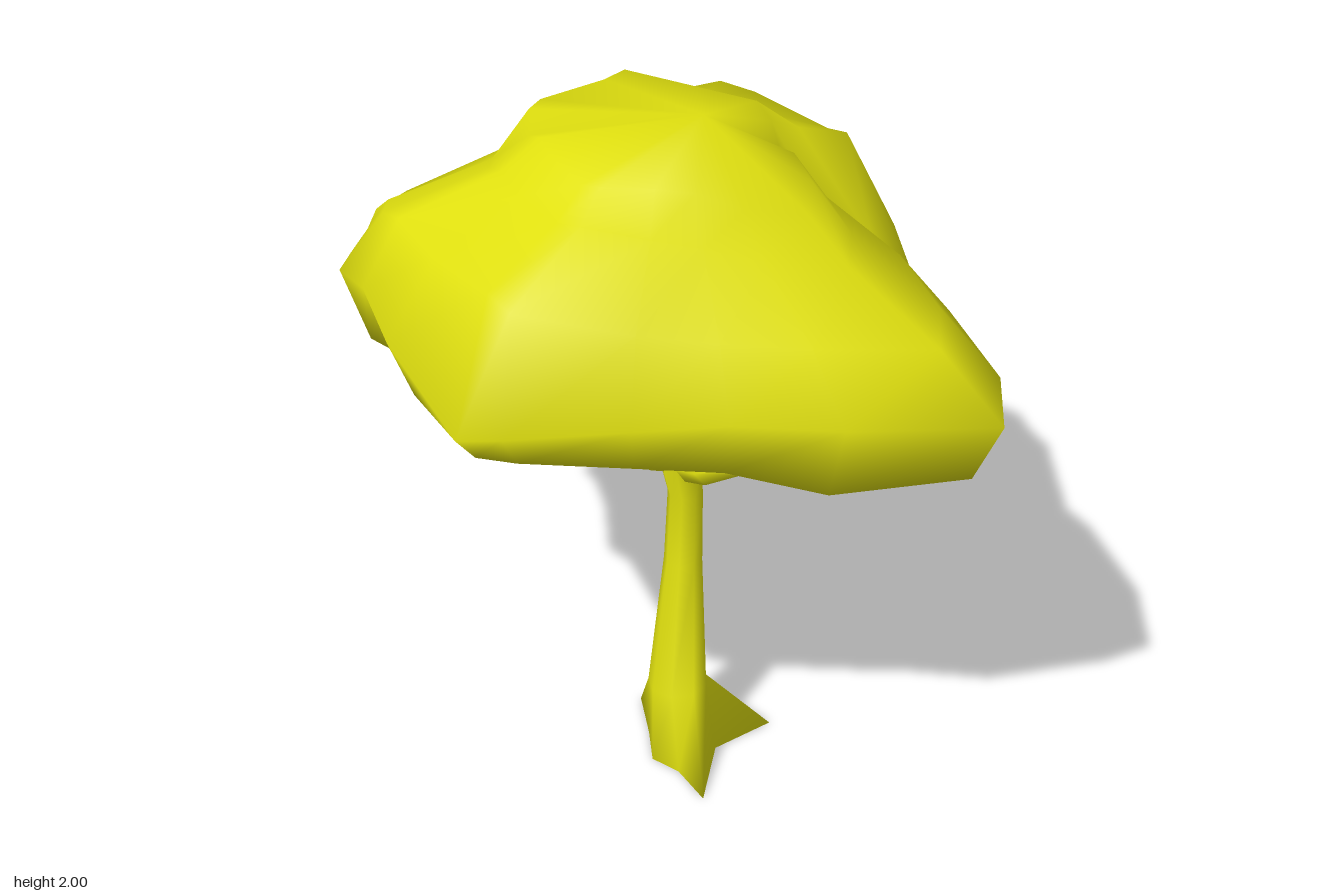
import * as THREE from 'three';

// Skin a stack of closed rings (clockwise about the stacking direction), capped by single points
function loft(rings, startCap, endCap) {
  const n = rings[0].length;
  const points = rings.flat();
  const index = [];
  for (let j = 0; j < rings.length - 1; j++) {
    for (let i = 0; i < n; i++) {
      const k = (i + 1) % n;
      const a = j * n + i, b = j * n + k, c = a + n, d = b + n;
      index.push(a, c, b, b, c, d);
    }
  }
  const last = (rings.length - 1) * n;
  const start = points.length, end = start + 1;
  points.push(startCap, endCap);
  for (let i = 0; i < n; i++) {
    const k = (i + 1) % n;
    index.push(start, i, k, end, last + k, last + i);
  }
  const geometry = new THREE.BufferGeometry().setFromPoints(points);
  geometry.setIndex(index);
  geometry.computeVertexNormals();
  return geometry;
}

const V = (x, y, z) => new THREE.Vector3(x, y, z);

// Horizontal ring starting at the back and running towards +x
function trunkRing(x, y, z, r, n = 8) {
  return Array.from({ length: n }, (_, i) => {
    const a = (i / n) * Math.PI * 2;
    return V(x + r * Math.sin(a), y, z - r * Math.cos(a));
  });
}

// Tapered limb through a few points, each with its own radius
function limb(path, radii, sides = 6) {
  const rings = path.slice(0, -1).map((p, j) => {
    const d = path[j + 1].clone().sub(path[Math.max(j - 1, 0)]).normalize();
    const u = V(0, 1, 0).cross(d).normalize();
    const v = u.clone().cross(d);
    return Array.from({ length: sides }, (_, i) => {
      const a = (i / sides) * Math.PI * 2;
      return p.clone().addScaledVector(u, radii[j] * Math.cos(a)).addScaledVector(v, radii[j] * Math.sin(a));
    });
  });
  return loft(rings, path[0], path[path.length - 1]);
}

// Canopy outline: x, z, then heights of rim, underside, shoulder and crown, then shoulder reach
const OUTLINE = [
  [-0.39, -0.96, 1.33, 1.23, 1.47, 1.88, 0.90],
  [0.00, -0.81, 1.30, 1.20, 1.50, 1.92, 0.94],
  [0.19, -0.87, 1.34, 1.21, 1.58, 1.92, 0.84],
  [0.57, -0.62, 1.46, 1.27, 1.69, 1.87, 0.95],
  [0.66, -0.54, 1.46, 1.31, 1.68, 1.86, 0.90],
  [0.83, -0.30, 1.46, 1.37, 1.64, 1.85, 0.81],
  [0.73, 0.00, 1.42, 1.31, 1.75, 1.85, 0.76],
  [0.61, 0.26, 1.37, 1.25, 1.52, 1.82, 0.81],
  [0.66, 0.34, 1.32, 1.24, 1.50, 1.82, 0.81],
  [0.54, 0.70, 1.32, 1.18, 1.50, 1.81, 0.81],
  [0.34, 0.95, 1.36, 1.18, 1.52, 1.78, 0.81],
  [-0.05, 0.81, 1.41, 1.19, 1.57, 1.82, 0.81],
  [-0.30, 0.67, 1.44, 1.27, 1.60, 1.87, 0.82],
  [-0.50, 0.53, 1.42, 1.28, 1.64, 1.88, 0.87],
  [-0.75, 0.33, 1.38, 1.28, 1.71, 1.88, 0.93],
  [-0.83, 0.24, 1.36, 1.28, 1.72, 1.88, 0.84],
  [-0.83, -0.10, 1.48, 1.31, 1.69, 1.90, 0.83],
  [-0.75, -0.38, 1.49, 1.30, 1.69, 1.90, 0.87],
  [-0.76, -0.49, 1.50, 1.29, 1.67, 1.89, 0.86],
  [-0.60, -0.74, 1.40, 1.26, 1.58, 1.87, 0.87],
  [-0.50, -0.92, 1.28, 1.22, 1.45, 1.87, 0.92],
];

function canopyGeometry() {
  const ring = (reach, height) => OUTLINE.map((o) => {
    const t = reach(o);
    return V(-0.02 + (o[0] + 0.02) * t, height(o), o[1] * t);
  });
  return loft([
    ring(() => 0.4, (o) => 1.16 + (o[3] - 1.16) * 0.35),
    ring(() => 0.92, (o) => o[3]),
    ring(() => 1, (o) => o[2]),
    ring((o) => o[6], (o) => o[4]),
    ring(() => 0.54, (o) => o[5] + (o[4] - o[5]) * 0.42),
    ring(() => 0.42, (o) => o[5]),
  ], V(0, 1.15, 0), V(-0.02, 2, 0.14));
}

function trunkGeometry() {
  // Star-shaped foot: root tips alternating with valleys
  const foot = [
    [-0.05, -0.13], [0.03, 0.02], [0.2, 0.18], [0.0, 0.19],
    [-0.16, 0.36], [-0.15, 0.22], [-0.18, 0.13], [-0.12, 0.02],
  ].map(([x, z]) => V(x, 0, z));
  return loft([
    foot,
    trunkRing(-0.06, 0.2, 0.08, 0.085),
    trunkRing(-0.02, 0.6, 0.05, 0.055),
    trunkRing(-0.013, 0.82, 0.05, 0.05),
    trunkRing(-0.03, 0.93, 0.05, 0.06),
    trunkRing(-0.035, 1.2, 0.06, 0.046),
  ], V(-0.06, 0, 0.09), V(-0.035, 1.22, 0.06));
}

export function createModel() {
  const yellow = new THREE.MeshStandardMaterial({ color: 0xe0e00f });
  yellow.name = 'yellow';
  const tree = new THREE.Group();
  tree.name = 'tree';
  const add = (name, geometry) => {
    const mesh = new THREE.Mesh(geometry, yellow);
    mesh.name = name;
    tree.add(mesh);
  };

  add('canopy', canopyGeometry());
  add('trunk', trunkGeometry());
  // Bare limbs forking below the canopy
  add('sideBranch', limb(
    [V(-0.03, 0.94, 0.05), V(-0.1, 0.95, 0.02), V(-0.22, 1.0, -0.03), V(-0.42, 1.07, -0.1)],
    [0.045, 0.04, 0.03]));
  add('frontBranch', limb(
    [V(-0.03, 0.92, 0.05), V(-0.01, 0.95, 0.15), V(0.02, 1.01, 0.26), V(0.05, 1.07, 0.33)],
    [0.05, 0.05, 0.035]));
  add('backBranch', limb(
    [V(-0.01, 0.88, 0.04), V(0.11, 0.94, -0.06), V(0.19, 1.08, -0.16), V(0.27, 1.24, -0.24)],
    [0.045, 0.04, 0.03]));
  add('upperBranch', limb(
    [V(-0.03, 1.0, 0.04), V(-0.06, 1.08, -0.05), V(-0.09, 1.17, -0.15), V(-0.13, 1.26, -0.23)],
    [0.04, 0.035, 0.028]));
  return tree;
}
